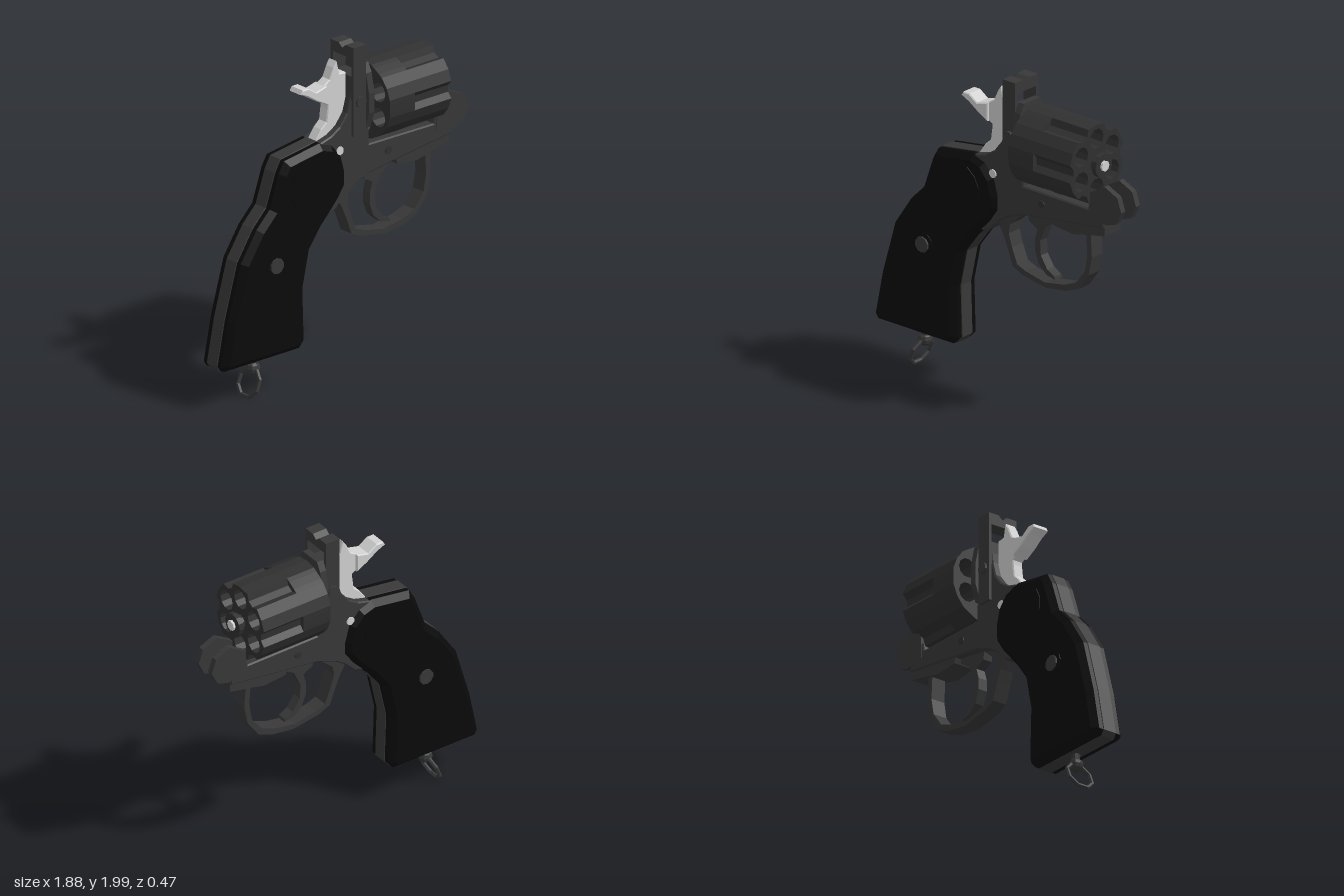
import * as THREE from 'three';

const mat = (name, color) => {
  const m = new THREE.MeshStandardMaterial({ color, flatShading: true });
  m.name = name;
  return m;
};

export function createModel() {
  const group = new THREE.Group();
  const metal = mat('dark steel', 0x383838);
  const drum = mat('blued steel', 0x303030);
  const black = mat('black grip', 0x0a0a0a);
  const silver = mat('bright steel', 0xd2d2d2);

  const add = (name, geo, material, x = 0, y = 0, z = 0) => {
    const m = new THREE.Mesh(geo, material);
    m.name = name;
    m.position.set(x, y, z);
    group.add(m);
    return m;
  };
  const toShape = pts => new THREE.Shape(pts.map(p => new THREE.Vector2(p[0], p[1])));

  // side profile, thickened evenly about z = 0, with an inward chamfer
  const slab = (pts, half, bevel = 0) => {
    const g = new THREE.ExtrudeGeometry(toShape(pts), {
      depth: 2 * (half - bevel), bevelEnabled: bevel > 0, bevelSegments: 1,
      bevelSize: bevel, bevelThickness: bevel, bevelOffset: -bevel,
    });
    return g.translate(0, 0, -(half - bevel));
  };
  // (z, y) profile extruded along x from x0 to x1
  const alongX = (shape, x0, x1) => new THREE.ExtrudeGeometry(shape,
    { depth: x1 - x0, bevelEnabled: false, curveSegments: 5 }).rotateY(Math.PI / 2).translate(x0, 0, 0);
  const rodX = (r, x0, x1, sides = 12) =>
    new THREE.CylinderGeometry(r, r, x1 - x0, sides).rotateZ(Math.PI / 2).translate((x0 + x1) / 2, 0, 0);
  const pinZ = (r, half, sides = 10) =>
    new THREE.CylinderGeometry(r, r, 2 * half, sides).rotateX(Math.PI / 2);

  // Grip: black panels with a steel strap around the middle
  const gripPts = [
    [-0.46, 1.43], [-0.19, 1.47], [-0.10, 1.44], [-0.03, 1.36], [0, 1.25], [0, 1.17], [-0.055, 1.09],
    [-0.13, 1.01], [-0.18, 0.96], [-0.27, 0.84], [-0.32, 0.61], [-0.31, 0.29], [-0.345, 0.25],
    [-0.92, 0.25], [-0.94, 0.28], [-0.885, 0.55], [-0.79, 0.88], [-0.67, 1.06], [-0.57, 1.16], [-0.50, 1.36],
  ];
  add('gripPanels', slab(gripPts, 0.11, 0.035), black);
  add('gripStrap', new THREE.ExtrudeGeometry(toShape(gripPts),
    { depth: 0.086, bevelSegments: 1, bevelSize: 0.004, bevelThickness: 0.002 }).translate(0, 0, -0.043), metal);
  add('gripBoss', pinZ(0.16, 0.115, 14), black, -0.28, 1.245);
  add('gripScrewCup', pinZ(0.075, 0.114, 12), black, -0.55, 0.82);
  add('gripScrew', pinZ(0.048, 0.125), metal, -0.55, 0.82);

  // Frame
  add('frame', slab([
    [0.05, 1.75], [0.045, 1.69], [0.02, 1.60], [-0.035, 1.53], [-0.10, 1.49], [-0.19, 1.465], [-0.22, 1.30],
    [-0.18, 1.02], [-0.13, 1.01], [-0.07, 1.03], [0, 1.10], [0.06, 1.14], [0.19, 1.19], [0.41, 1.22],
    [0.805, 1.27], [0.805, 1.35], [0.72, 1.43], [0.69, 1.41], [0.68, 1.365], [0.19, 1.37], [0.185, 1.50], [0.145, 1.75],
  ], 0.08, 0.008), metal);
  add('frameRail', slab([
    [0.40, 1.22], [0.41, 1.185], [0.56, 1.17], [0.69, 1.20], [0.80, 1.22], [0.805, 1.28],
  ], 0.07), metal);
  add('framePin', pinZ(0.026, 0.088), silver, -0.04, 1.387);
  add('frameScrew', pinZ(0.024, 0.086), drum, 0.33, 1.295);
  add('cylinderStop', new THREE.BoxGeometry(0.06, 0.04, 0.06), metal, 0.41, 1.37);

  // Hinge: two ears with a knuckle between
  const ear = [[0.70, 1.32], [0.70, 1.47], [0.81, 1.535], [0.91, 1.49], [0.94, 1.405], [0.90, 1.325], [0.83, 1.30]];
  for (const s of [-1, 1]) add('hingeEar', slab(ear, 0.018), metal, 0, 0, s * 0.064);
  add('hingeKnuckle', slab([[0.69, 1.33], [0.69, 1.43], [0.74, 1.46], [0.80, 1.44], [0.80, 1.33]], 0.046), metal);

  // Breech shield behind the cylinder
  add('recoilShield', alongX(toShape([
    [-0.09, 1.48], [-0.125, 1.58], [-0.125, 1.70], [-0.10, 1.82], [-0.07, 1.875],
    [0.07, 1.875], [0.10, 1.82], [0.125, 1.70], [0.125, 1.58], [0.09, 1.48],
  ]), 0.145, 0.187), metal);
  const ring = rodX(0.05, 0.185, 0.193);
  add('firingPinBush', ring, drum, 0, 1.775);
  add('firingPin', rodX(0.022, 0.185, 0.198, 8), silver, 0, 1.775);

  // Top latch with sight notch and open window
  const latch = toShape([
    [-0.10, 1.45], [0.10, 1.45], [0.10, 2], [0.03, 2], [0, 1.975], [-0.03, 2], [-0.10, 2],
  ]);
  latch.holes.push(new THREE.Path([[-0.08, 1.82], [-0.08, 1.93], [0.08, 1.93], [0.08, 1.82]]
    .map(p => new THREE.Vector2(p[0], p[1]))));
  add('topLatch', alongX(latch, 0.05, 0.145), metal);
  add('latchScrew', pinZ(0.035, 0.115), metal, 0.10, 1.66);

  // Hammer
  add('hammer', slab([
    [-0.02, 1.92], [0, 1.84], [0.048, 1.835], [0.048, 1.66], [0.03, 1.45], [-0.19, 1.46], [-0.14, 1.53],
    [-0.10, 1.565], [-0.09, 1.64], [-0.09, 1.665], [-0.13, 1.69], [-0.125, 1.79], [-0.075, 1.82], [-0.045, 1.885],
  ], 0.036, 0.006), silver);
  add('hammerSpur', slab([
    [-0.11, 1.795], [-0.11, 1.68], [-0.18, 1.715], [-0.255, 1.765], [-0.31, 1.79],
    [-0.295, 1.815], [-0.25, 1.815], [-0.19, 1.775],
  ], 0.052, 0.006), silver);

  // Cylinder: plain rear, fluted front, six open chambers
  const R = 0.238, rad = Math.PI / 180;
  const drumShape = fluteR => {
    const pts = [];
    for (let i = 0; i < 6; i++) {
      for (const [a, r] of [[-13, R], [-6, fluteR], [6, fluteR], [13, R], [30, R]]) {
        const t = (i * 60 + a) * rad;
        pts.push([r * Math.cos(t), r * Math.sin(t)]);
      }
    }
    const s = toShape(pts);
    for (let i = 0; i < 6; i++) {
      const t = (30 + i * 60) * rad;
      s.holes.push(new THREE.Path().absarc(0.153 * Math.cos(t), 0.153 * Math.sin(t), 0.06, 0, Math.PI * 2, true));
    }
    return s;
  };
  add('cylinderRear', alongX(drumShape(R * 0.985), 0.21, 0.40), drum, 0, 1.62);
  add('cylinderFront', alongX(drumShape(0.203), 0.40, 0.68), drum, 0, 1.62);
  add('extractorStar', rodX(0.065, 0.188, 0.212, 6), silver, 0, 1.62);
  add('extractorNeck', rodX(0.05, 0.67, 0.71), drum, 0, 1.62);
  add('extractorFlange', rodX(0.072, 0.705, 0.735), drum, 0, 1.62);
  add('extractorRod', rodX(0.032, 0.70, 0.75, 8), silver, 0, 1.62);

  // Trigger and guard
  add('triggerGuard', slab([
    [-0.03, 1.08], [0.01, 1.01], [0.04, 0.94], [0.08, 0.835], [0.155, 0.80], [0.335, 0.77], [0.485, 0.79],
    [0.585, 0.83], [0.66, 0.935], [0.685, 1.05], [0.675, 1.21], [0.64, 1.21], [0.65, 1.055], [0.63, 0.95],
    [0.56, 0.86], [0.47, 0.825], [0.325, 0.80], [0.18, 0.83], [0.115, 0.855], [0.075, 0.95], [0.05, 1.03],
    [0.06, 1.09], [0.13, 1.15], [0.20, 1.20], [-0.03, 1.15],
  ], 0.047), metal);
  add('trigger', slab([
    [0.18, 1.21], [0.19, 1.14], [0.255, 1.105], [0.235, 1.04], [0.235, 0.97], [0.265, 0.89], [0.325, 0.84],
    [0.39, 0.828], [0.385, 0.845], [0.33, 0.875], [0.28, 0.95], [0.275, 1.04], [0.32, 1.14], [0.40, 1.19], [0.40, 1.24],
  ], 0.03), metal);

  // Lanyard stud and ring under the butt
  add('lanyardStud', new THREE.CylinderGeometry(0.028, 0.024, 0.10, 8), metal, -0.625, 0.215);
  add('lanyardEye', new THREE.SphereGeometry(0.043, 8, 6), metal, -0.63, 0.18);
  const loop = new THREE.TorusGeometry(0.088, 0.013, 6, 8).rotateZ(Math.PI / 8).rotateY(Math.PI / 2).rotateZ(-0.38);
  add('lanyardRing', loop, metal, -0.66, 0.10);

  return group;
}
